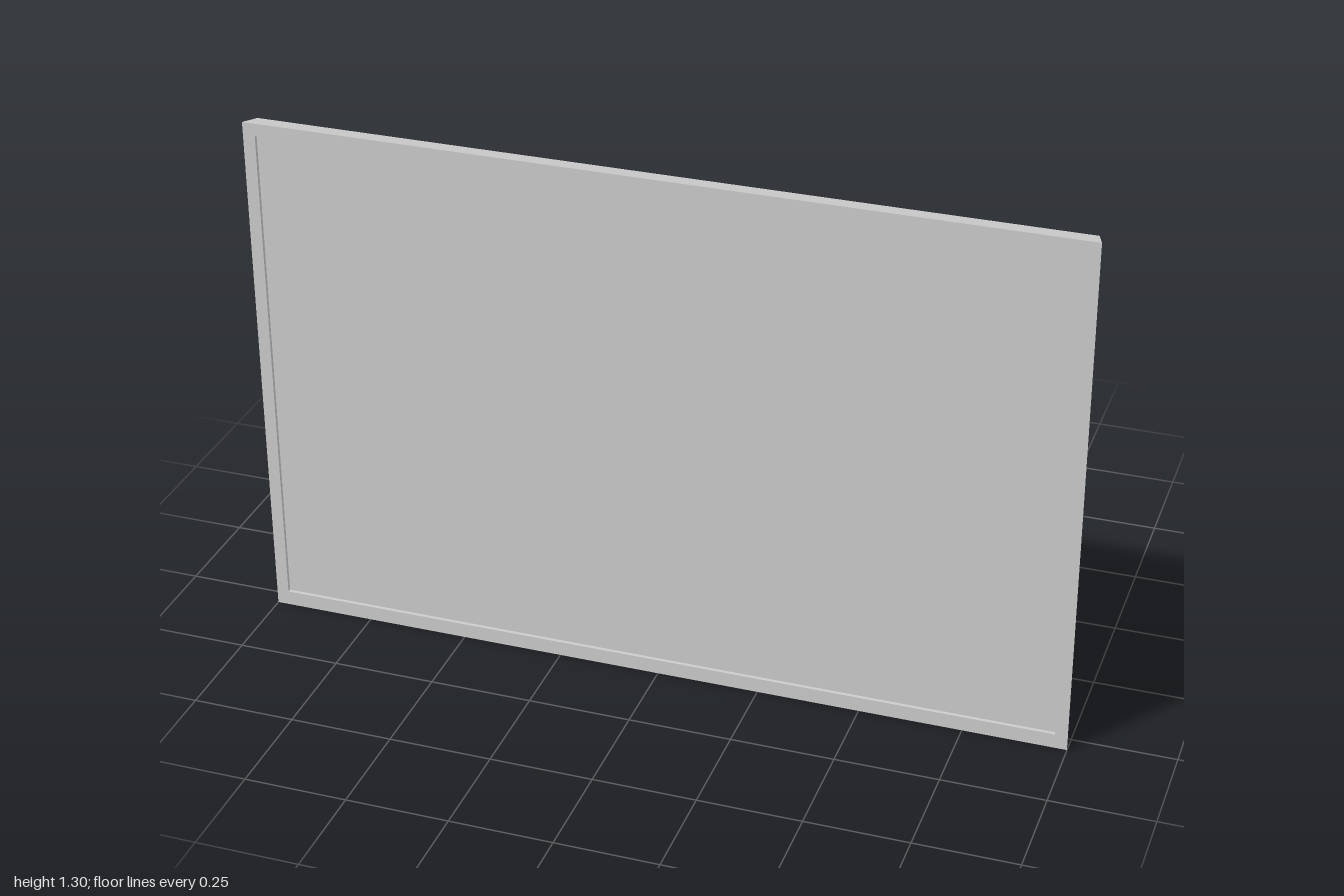
import * as THREE from 'three';

const grey = new THREE.MeshStandardMaterial({ color: 0xcccccc, flatShading: true });
const greyThin = new THREE.MeshStandardMaterial({ color: 0xcccccc, flatShading: true, side: THREE.DoubleSide });

// Skins rectangles [z, halfWidth, yBottom, yTop], listed from front to back
function loft(name, sections, { front = true, back = true } = {}) {
  const rings = sections.map(([z, w, y0, y1]) => [[-w, y0, z], [w, y0, z], [w, y1, z], [-w, y1, z]]);
  const pos = [];
  const quad = (a, b, c, d) => pos.push(...a, ...b, ...c, ...a, ...c, ...d);
  for (let s = 0; s < rings.length - 1; s++) {
    const r = rings[s], n = rings[s + 1];
    for (let i = 0; i < 4; i++) {
      const j = (i + 1) % 4;
      quad(r[i], n[i], n[j], r[j]);
    }
  }
  if (front) quad(...rings[0]);
  if (back) quad(...rings[rings.length - 1].slice().reverse());
  const geo = new THREE.BufferGeometry();
  geo.setAttribute('position', new THREE.Float32BufferAttribute(pos, 3));
  geo.computeVertexNormals();
  const mesh = new THREE.Mesh(geo, grey);
  mesh.name = name;
  return mesh;
}

export function createModel() {
  const model = new THREE.Group();
  model.name = 'wallMountedScreen';

  // Bezel and bevelled back shell, open at the recess for the screen
  model.add(loft('housing', [
    [0.285, 0.97, 0.037, 1.27],
    [0.294, 0.97, 0.037, 1.27],
    [0.294, 1.0, 0, 1.3],
    [0.245, 0.985, 0.003, 1.292],
    [0.183, 0.825, 0.173, 1.13],
  ], { front: false }));

  // Recessed display
  const screen = new THREE.Mesh(new THREE.PlaneGeometry(1.94, 1.233), grey);
  screen.name = 'screen';
  screen.position.set(0, 0.6535, 0.285);
  model.add(screen);

  // Bracket wings and the side walls of the open-ended channel
  const bracket = new THREE.Group();
  bracket.name = 'bracket';
  for (const side of [-1, 1]) {
    const wing = new THREE.Mesh(new THREE.BoxGeometry(0.155, 0.463, 0.007), grey);
    wing.name = side > 0 ? 'leftWing' : 'rightWing';
    wing.position.set(side * 0.1625, 0.6475, 0.1795);
    const wall = new THREE.Mesh(new THREE.PlaneGeometry(0.037, 0.463), greyThin);
    wall.name = side > 0 ? 'leftChannelWall' : 'rightChannelWall';
    wall.rotation.y = side * Math.PI / 2;
    wall.position.set(side * 0.085, 0.6475, 0.1595);
    bracket.add(wing, wall);
  }
  // Shallow pyramid closing the channel and meeting the arm
  const cover = loft('channelCover', [
    [0.141, 0.085, 0.416, 0.879],
    [0.125, 0.03, 0.611, 0.682],
  ], { front: false, back: false });
  cover.material = greyThin;
  bracket.add(cover);
  model.add(bracket);

  // Straight arm, elbow collar and raised arm
  model.add(loft('straightArm', [
    [0.125, 0.03, 0.611, 0.682],
    [-0.09, 0.03, 0.611, 0.682],
  ]));
  model.add(loft('elbowCollar', [
    [-0.09, 0.039, 0.602, 0.69],
    [-0.107, 0.039, 0.602, 0.69],
  ]));
  model.add(loft('raisedArm', [
    [-0.107, 0.03, 0.611, 0.682],
    [-0.25, 0.03, 0.76, 0.83],
  ]));

  // Flared wall plate
  model.add(loft('wallPlate', [
    [-0.25, 0.03, 0.76, 0.83],
    [-0.281, 0.108, 0.685, 0.911],
    [-0.294, 0.142, 0.654, 0.937],
  ]));

  return model;
}
